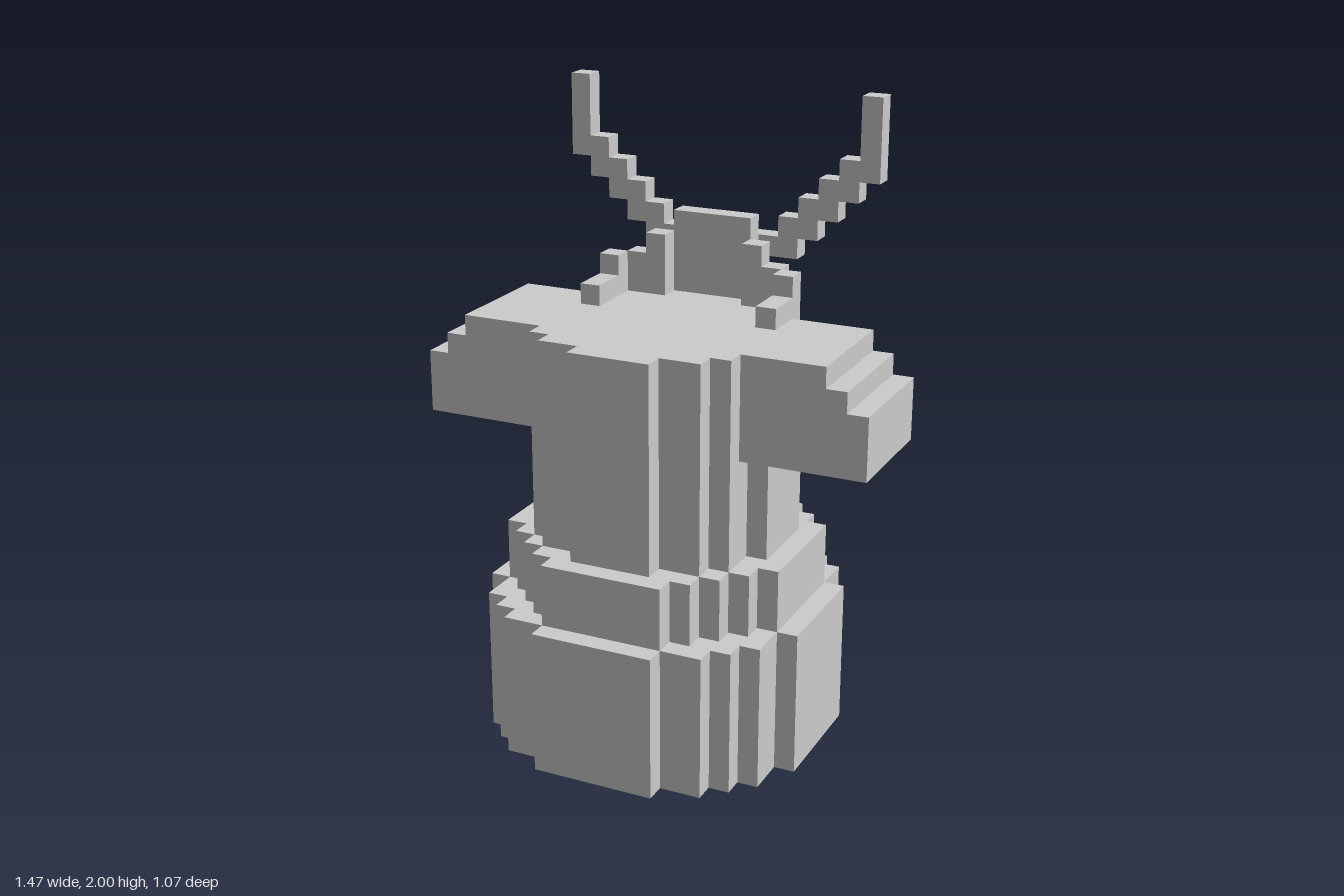
import * as THREE from 'three';

const U = 1 / 15; // one block
const material = new THREE.MeshStandardMaterial({ color: 0xcccccc, flatShading: true });

// Box given by its limits in blocks
function block(parent, name, x0, x1, y0, y1, z0, z1) {
  const mesh = new THREE.Mesh(
    new THREE.BoxGeometry((x1 - x0) * U, (y1 - y0) * U, (z1 - z0) * U), material);
  mesh.position.set((x0 + x1) * U / 2, (y0 + y1) * U / 2, (z0 + z1) * U / 2);
  mesh.name = name;
  parent.add(mesh);
}

// Blocky round tier: corners of one quadrant, ordered from the front to the side
function tier(parent, name, corners, y0, y1) {
  const quadrant = [];
  corners.forEach(([x, z], i) => {
    if (i > 0) quadrant.push([corners[i - 1][0], z]);
    quadrant.push([x, z]);
  });
  const mirrored = [...quadrant].reverse();
  const outline = [
    ...quadrant,
    ...mirrored.map(([x, z]) => [x, -z]),
    ...quadrant.map(([x, z]) => [-x, -z]),
    ...mirrored.map(([x, z]) => [-x, z]),
  ];
  const shape = new THREE.Shape(outline.map(([x, z]) => new THREE.Vector2(x * U, z * U)));
  const geometry = new THREE.ExtrudeGeometry(shape, { depth: (y1 - y0) * U, bevelEnabled: false });
  geometry.rotateX(-Math.PI / 2);
  const mesh = new THREE.Mesh(geometry, material);
  mesh.position.y = y0 * U;
  mesh.name = name;
  parent.add(mesh);
}

export function createModel() {
  const model = new THREE.Group();
  model.name = 'blockFigure';

  // Stacked round body
  tier(model, 'base', [[3, 8], [5, 7], [6, 6], [7, 5], [8, 3]], 0, 7);
  tier(model, 'middleTier', [[3, 7], [4, 6], [5, 5], [6, 4], [7, 3]], 7, 10);
  tier(model, 'body', [[2, 6], [4, 5], [5, 4], [6, 2]], 10, 20);

  // Raised collar back and the bar joining the horns
  block(model, 'collarBack', -2, 2, 20, 24, -6, -5);
  block(model, 'hornBar', -3, 3, 22, 23, -7, -6);

  for (const side of [1, -1]) {
    const group = new THREE.Group();
    group.name = side > 0 ? 'leftSide' : 'rightSide';
    model.add(group);
    const add = (name, x0, x1, ...rest) =>
      block(group, name, Math.min(side * x0, side * x1), Math.max(side * x0, side * x1), ...rest);

    // Stepped shoulder
    add('shoulderLower', 4, 11, 15, 18, -3, 3);
    add('shoulderMiddle', 4, 10, 18, 19, -3, 3);
    add('shoulderUpper', 4, 9, 19, 20, -3, 3);

    // Collar descending towards the front
    add('collarInner', 2, 3, 20, 23, -5, -4);
    add('collarCorner', 3, 4, 20, 22, -5, -4);
    add('collarSide', 4, 5, 20, 22, -4, -3);
    add('collarFront', 4, 5, 20, 21, -3, -1);

    // Horn climbing outwards in steps
    for (let i = 0; i < 5; i++) {
      add('hornStep', 3 + i, 4 + i, 22 + i, i === 4 ? 30 : 24 + i, -7, -6);
    }
  }
  return model;
}
